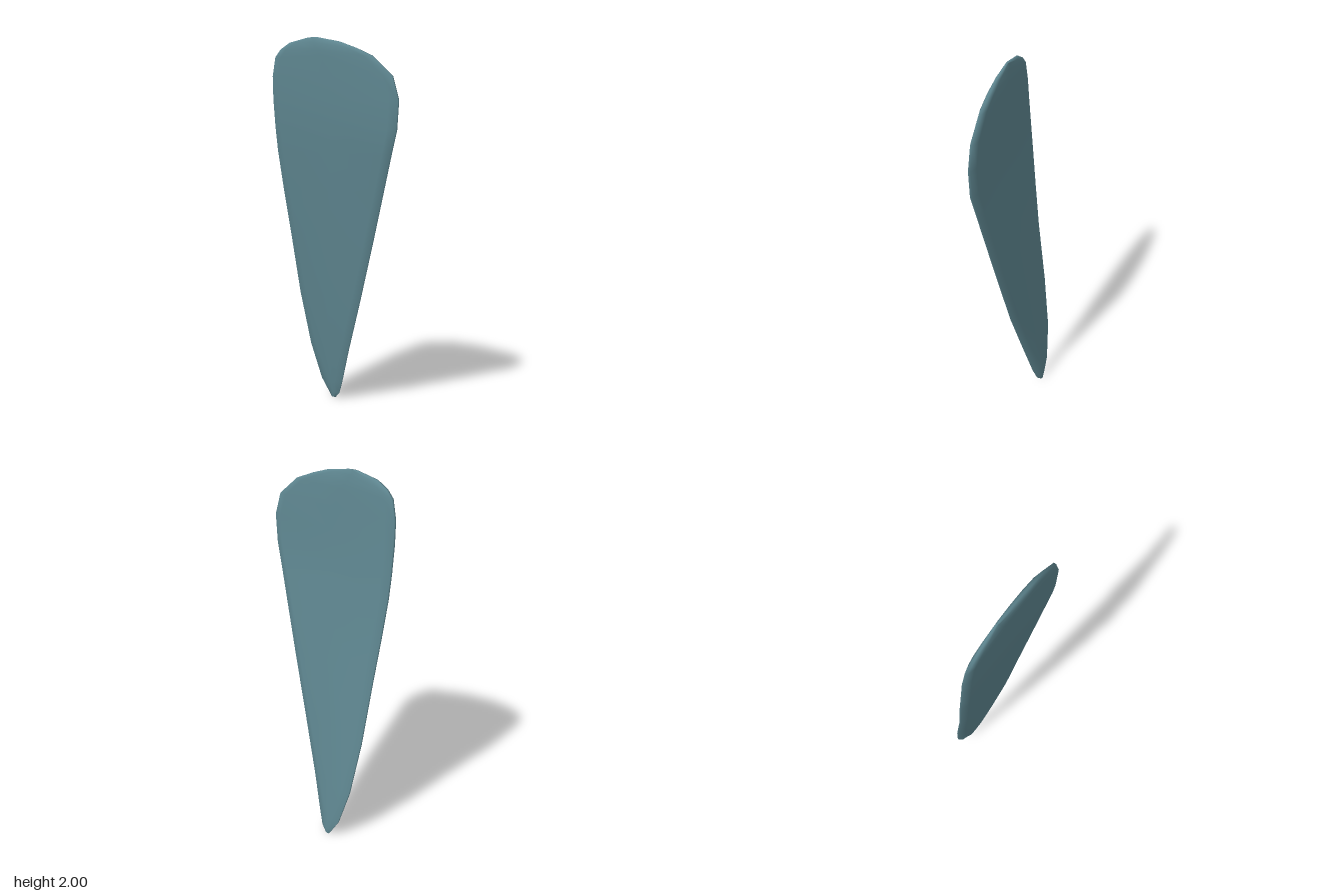
import * as THREE from 'three';

// Stations from tip to crown: y, left edge x/z, right edge x/z, half thickness
const STATIONS = [
  [0, 0.055, -0.228, 0.07, -0.205, 0.006],
  [0.03, 0.042, -0.243, 0.083, -0.177, 0.008],
  [0.1, 0.01, -0.274, 0.09, -0.145, 0.011],
  [0.3, -0.045, -0.304, 0.108, -0.075, 0.014],
  [0.6, -0.105, -0.305, 0.143, 0.03, 0.015],
  [0.95, -0.162, -0.288, 0.186, 0.133, 0.016],
  [1.2, -0.203, -0.283, 0.215, 0.205, 0.017],
  [1.4, -0.233, -0.279, 0.238, 0.262, 0.018],
  [1.53, -0.247, -0.273, 0.254, 0.3, 0.019],
  [1.68, -0.259, -0.265, 0.26, 0.31, 0.019],
  [1.8, -0.263, -0.257, 0.235, 0.285, 0.019],
  [1.9, -0.252, -0.238, 0.155, 0.203, 0.018],
  [1.94, -0.23, -0.21, 0.09, 0.135, 0.017],
  [1.975, -0.19, -0.165, 0.02, 0.06, 0.013],
  [2, -0.11, -0.08, -0.07, -0.04, 0.007],
];

// Closed horizontal section: thin rims, bevels and two broad faces
function section([y, lx, lz, rx, rz, half]) {
  const left = new THREE.Vector3(lx, y, lz);
  const right = new THREE.Vector3(rx, y, rz);
  const width = left.distanceTo(right);
  const normal = new THREE.Vector3(rz - lz, 0, lx - rx).divideScalar(width);
  const bevel = Math.min(0.045 / width, 0.3);
  const rim = half * 0.35;
  const side = [[0, rim], [bevel, half], [0.5, half], [1 - bevel, half], [1, rim]];
  const loop = [...side, ...side.map(([u, t]) => [1 - u, -t])];
  return loop.map(([u, t]) => left.clone().lerp(right, u).addScaledVector(normal, t));
}

function bladeGeometry() {
  const rows = STATIONS.map(section);
  // Close both ends onto their centres
  const closed = (row) => {
    const c = row.reduce((s, p) => s.add(p), new THREE.Vector3()).divideScalar(row.length);
    return row.map(() => c);
  };
  rows.unshift(closed(rows[0]));
  rows.push(closed(rows[rows.length - 1]));

  const n = rows[0].length;
  const index = [];
  for (let i = 0; i < rows.length - 1; i++) {
    for (let j = 0; j < n; j++) {
      const k = (j + 1) % n;
      const a = i * n + j, b = i * n + k, c = a + n, d = b + n;
      if (i < rows.length - 2) index.push(a, c, d);
      if (i > 0) index.push(a, d, b);
    }
  }
  const geometry = new THREE.BufferGeometry().setFromPoints(rows.flat());
  geometry.setIndex(index);
  geometry.computeVertexNormals();
  return geometry;
}

export function createModel() {
  const group = new THREE.Group();
  group.name = 'leaningBlade';
  const blade = new THREE.Mesh(bladeGeometry(), new THREE.MeshStandardMaterial({ color: 0x5f8791 }));
  blade.name = 'blade';
  group.add(blade);
  return group;
}
